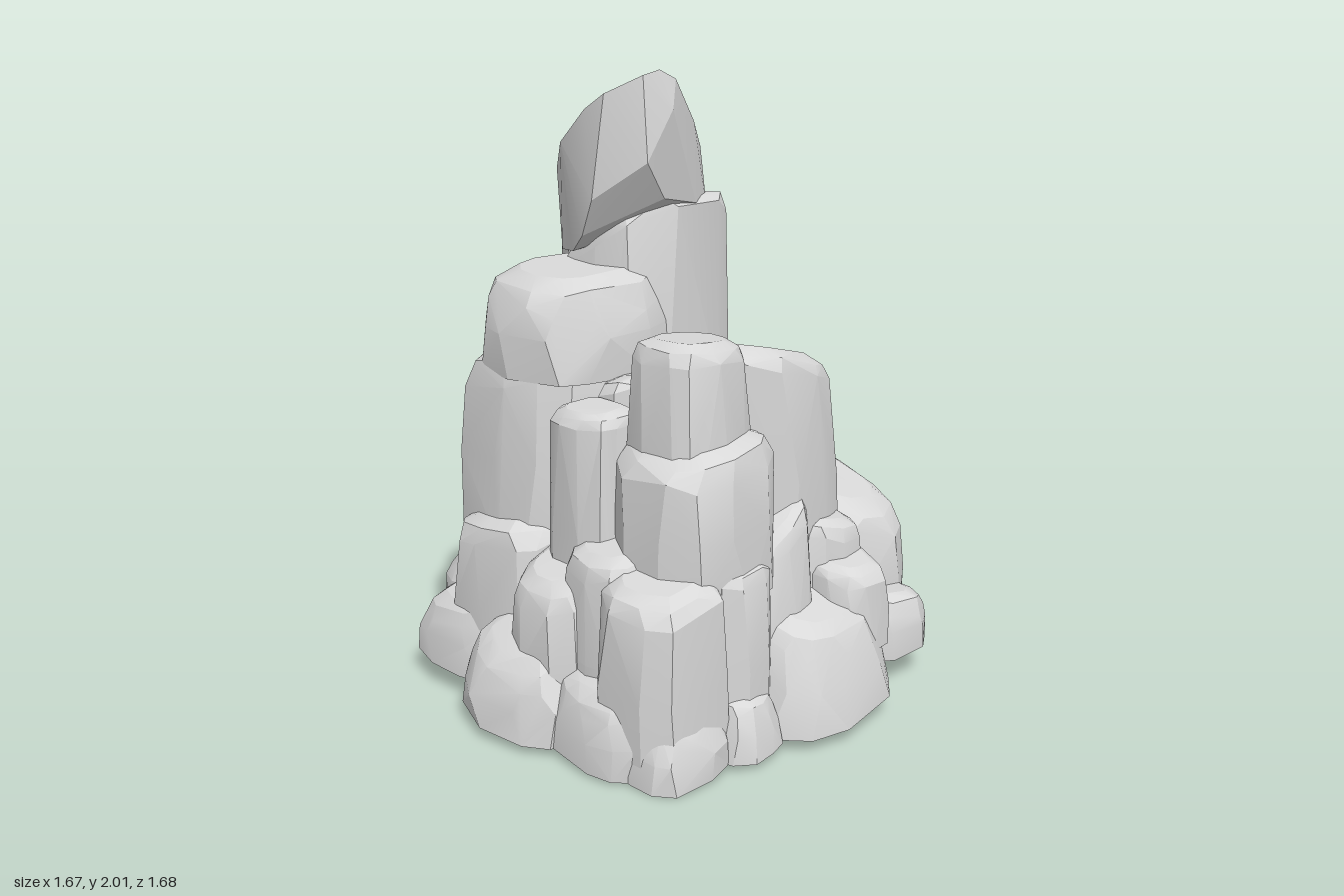
import * as THREE from 'three';
import { toCreasedNormals } from 'three/addons/utils/BufferGeometryUtils.js';
import { ConvexGeometry } from 'three/addons/geometries/ConvexGeometry.js';

const stone = new THREE.MeshStandardMaterial({ color: 0xd8d8d8 });
stone.name = 'grey stone';

// the whole outcrop is cut off below by one slightly tilted plane
const ground = (x, z) => 0.1 + 0.085 * x - 0.07 * z;

let seed = 7;
const rand = () => {
  seed = (seed * 16807) % 2147483647;
  return seed / 2147483647;
};

function hull(name, points) {
  const mesh = new THREE.Mesh(toCreasedNormals(new ConvexGeometry(points), 0.36), stone);
  mesh.name = name;
  return mesh;
}

// Weathered boulder or column filling x0..x1, z0..z1, from y0 (null = ground) to y1.
// sx, sz: slope of the top; taper: width of the shoulder relative to the foot;
// lx, lz: how far the top leans away from the foot.
function rock(name, x0, x1, z0, z1, y0, y1, sx = 0, sz = 0, taper = 0.92, lx = 0, lz = 0) {
  const cx = (x0 + x1) / 2, cz = (z0 + z1) / 2;
  const rx = (x1 - x0) / 2, rz = (z1 - z0) / 2;
  const n = 11, turn = rand() * 6, points = [];
  const foot = y0 ?? ground(cx, cz);
  const bevel = Math.min(0.32 * (y1 - foot), 0.36 * Math.min(rx, rz));
  // each ring: height fraction, width, drop below the top surface
  const rings = [[0, 1, 0], [0.45, (1.06 + taper) / 2, 0], [1, taper, bevel], [1, taper * 0.88, bevel * 0.35], [1, taper * 0.64, 0]];
  const bump = Array.from({ length: n }, () => 0.94 + 0.1 * rand());
  const round = (v) => Math.sign(v) * Math.abs(v) ** 0.75;
  for (const [t, scale, drop] of rings) {
    for (let i = 0; i < n; i++) {
      const a = turn + ((i + 0.5 * rand()) / n) * Math.PI * 2;
      const s = scale * bump[i] * (0.97 + 0.05 * rand());
      const dx = round(Math.cos(a)) * rx * s, dz = round(Math.sin(a)) * rz * s;
      const x = cx + dx + lx * t, z = cz + dz + lz * t;
      const low = y0 ?? ground(x, z);
      const high = y1 + sx * dx + sz * dz - drop * (0.75 + 0.5 * rand());
      points.push(new THREE.Vector3(x, low + (high - low) * t, z));
    }
  }
  return hull(name, points);
}

function part(name, ...meshes) {
  const g = new THREE.Group();
  g.name = name;
  g.add(...meshes);
  return g;
}

export function createModel() {
  const model = new THREE.Group();
  model.name = 'rockOutcrop';

  // leaning wedge on top of the tower
  const summit = hull('summit', [
    [-0.13, 2, 0.08], [-0.2, 1.985, 0.08], [-0.06, 1.97, 0.08], [-0.29, 1.93, 0],
    [-0.3, 1.88, -0.08], [-0.28, 1.77, -0.22], [-0.17, 1.67, -0.37], [0, 1.82, -0.18],
    [0.08, 1.83, 0.02], [0.17, 1.74, -0.04], [0.07, 1.66, -0.38], [0.19, 1.66, -0.3],
    [0.24, 1.65, -0.13], [0.28, 1.54, -0.2], [-0.3, 1.6, -0.05], [-0.28, 1.48, -0.12],
    [-0.25, 1.42, -0.2], [-0.16, 1.4, -0.36], [0.07, 1.57, 0.04], [-0.1, 1.6, 0.07],
    [-0.2, 1.72, 0.1], [-0.1, 1.88, 0.11], [0.18, 1.54, -0.02], [0.25, 1.48, -0.22], [0.1, 1.42, -0.34],
  ].map((p) => new THREE.Vector3(...p)));

  model.add(part('tower',
    summit,
    rock('towerFront', -0.25, 0.36, -0.4, 0.06, 0.4, 1.53, 0.05, 0.5, 0.95),
    rock('towerBack', -0.02, 0.49, -0.6, -0.16, 0.4, 1.24, 0, 0.7, 0.96),
    rock('towerBackCap', -0.07, 0.46, -0.6, -0.16, 1.0, 1.59, -0.35, 0.1, 0.97),
  ));

  model.add(part('shoulder',
    rock('shoulderCap', -0.55, 0.03, -0.46, 0.09, 1.05, 1.38, 0.07, -0.04, 0.93),
    rock('shoulderMiddle', -0.59, 0.06, -0.53, 0.05, 0.5, 1.14, 0.05, 0.1, 0.97),
    rock('shoulderFootLeft', -0.68, -0.24, -0.47, 0.02, null, 0.6, 0.1, 0.1),
    rock('shoulderFootBack', -0.32, 0.15, -0.71, -0.25, null, 0.69, 0, 0.15),
    rock('shoulderSide', -0.59, -0.36, 0, 0.3, 0.3, 1.01, 0.1),
    rock('middleSlab', -0.43, 0.18, 0, 0.23, 0.4, 1.07, 0, 0.2, 0.95),
  ));

  model.add(part('frontColumns',
    rock('tallColumn', -0.52, -0.14, 0.25, 0.58, 0.6, 1.24, -0.06, 0, 0.88),
    rock('tallColumnFoot', -0.57, -0.09, 0.22, 0.66, 0.48, 0.95, 0.1, -0.05, 0.95),
    rock('slantedColumn', -0.22, 0.33, 0.1, 0.57, 0.4, 1.15, -0.25, 0.1, 0.82, -0.04, 0.03),
  ));

  model.add(part('rightRocks',
    rock('rightUpperRock', 0.14, 0.57, -0.22, 0.26, 0.3, 0.83, -0.15, -0.25, 0.9, -0.02, -0.01),
    rock('rightLargeRock', 0.24, 0.7, -0.02, 0.56, null, 0.63, -0.1, -0.33, 0.92),
    rock('rightBaseRock', 0.44, 0.84, -0.28, 0.21, null, 0.42, -0.2),
    rock('rightFrontRock', 0.28, 0.61, 0.36, 0.69, null, 0.29, -0.1),
    rock('rightRearRock', 0.28, 0.65, -0.42, -0.08, null, 0.54, -0.15),
  ));

  model.add(part('frontRocks',
    rock('frontBaseRock', -0.28, 0.3, 0.4, 0.83, null, 0.39, 0, -0.35, 0.76),
    rock('frontKnob', 0.04, 0.31, 0.46, 0.74, 0.2, 0.49, 0, -0.2),
    rock('frontStep', 0, 0.33, 0.33, 0.64, null, 0.61, -0.15, -0.1, 0.9),
    rock('frontWedge', -0.27, 0.04, 0.38, 0.68, null, 0.67, 0.6, -0.2, 0.85, 0.02, -0.02),
    rock('frontLeftPillar', -0.45, -0.19, 0.38, 0.7, null, 0.6, 0.05, -0.1, 0.95),
    rock('frontLeftBlock', -0.72, -0.37, 0.33, 0.7, null, 0.58, 0.15, -0.1, 0.93),
    rock('frontLeftFoot', -0.73, -0.38, 0.42, 0.73, null, 0.2, 0, -0.1, 0.85),
    rock('frontPebble', -0.46, -0.22, 0.48, 0.76, null, 0.2, 0, -0.1, 0.8),
  ));

  model.add(part('leftRocks',
    rock('leftOuterFoot', -0.84, -0.46, -0.2, 0.29, null, 0.31, 0.5, 0, 0.87),
    rock('leftFrontFoot', -0.78, -0.45, 0.18, 0.6, null, 0.28, 0.5, 0, 0.88),
    rock('leftBlock', -0.74, -0.38, -0.05, 0.3, null, 0.54, 0.4),
    rock('leftInnerBlock', -0.68, -0.36, 0.14, 0.47, null, 0.63, 0.2),
    rock('leftRearRock', -0.72, -0.36, -0.57, -0.13, null, 0.31, 0.2, 0.1, 0.88),
  ));

  model.add(part('rearRocks',
    rock('rearLeftFoot', -0.44, 0.04, -0.84, -0.42, null, 0.32, 0, 0.2, 0.88),
    rock('rearMiddleFoot', -0.04, 0.3, -0.82, -0.45, null, 0.34, 0, 0.2, 0.88),
    rock('rearMiddleRock', 0.04, 0.43, -0.75, -0.4, null, 0.57, 0, 0.3, 0.9),
    rock('rearRightFoot', 0.2, 0.68, -0.8, -0.38, null, 0.42, 0, 0.2, 0.88),
    rock('rearOuterRock', 0.4, 0.81, -0.63, -0.18, null, 0.42, -0.2, 0, 0.88),
    rock('rearInnerRock', 0.28, 0.63, -0.58, -0.26, null, 0.53, -0.15, 0.1, 0.9),
  ));

  // solid heart that closes the gaps between the boulders
  model.add(rock('core', -0.68, 0.66, -0.68, 0.66, null, 0.5, 0, 0, 0.72));
  return model;
}
